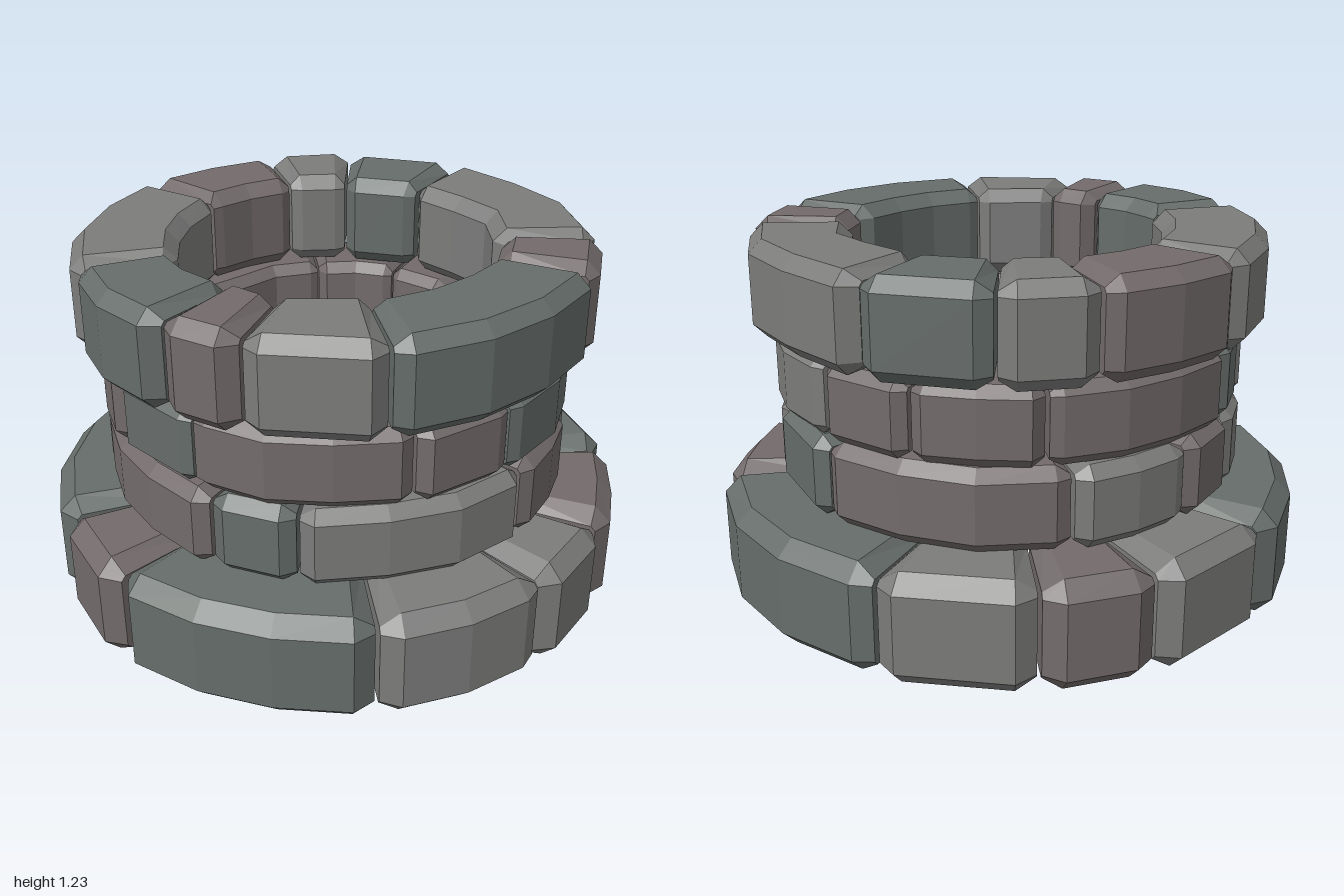
import * as THREE from 'three';

// small seeded generator for hand-cut irregularity
let seed = 7;
const rand = () => (seed = (seed * 16807) % 2147483647) / 2147483647;
const DEG = Math.PI / 180;

const COLORS = { l: 0x7c7c7b, b: 0x736b6b, g: 0x666d6a };

// each course: heights, radii, chamfer and the stones as [start angle, tone]; 0 is the front, 90 is +x
const COURSES = [
  { name: 'baseCourse', y0: 0, y1: 0.375, r0: 0.58, r1: 1.0, c: 0.055,
    stones: [[-26, 'g'], [26, 'l'], [60, 'l'], [83, 'b'], [114, 'g'], [173, 'l'], [203, 'b'],
      [225, 'l'], [254, 'g'], [310, 'b']] },
  { name: 'lowerCourse', y0: 0.37, y1: 0.65, r0: 0.5, r1: 0.805, c: 0.04,
    stones: [[-11, 'g'], [10, 'l'], [67, 'b'], [98, 'l'], [121, 'g'], [151, 'b'], [212, 'l'],
      [243, 'b'], [265, 'l'], [296, 'b']] },
  { name: 'upperCourse', y0: 0.645, y1: 0.908, r0: 0.5, r1: 0.8, c: 0.035,
    stones: [[-15, 'b'], [36, 'b'], [61, 'g'], [116, 'l'], [150, 'b'], [175, 'b'], [206, 'b'],
      [258, 'g'], [277, 'l'], [300, 'b'], [319, 'g']] },
  { name: 'rimCourse', y0: 0.908, y1: 1.235, r0: 0.53, r1: 0.875, c: 0.045,
    stones: [[-18, 'b'], [0, 'l'], [29, 'g'], [86, 'b'], [107, 'l'], [167, 'g'], [195, 'l'],
      [216, 'b'], [251, 'l'], [308, 'g']] },
];

// rectangle in (radius, height) with cut corners, counter-clockwise
function section(r0, r1, y0, y1, c) {
  return [[r0 + c, y0], [r1 - c, y0], [r1, y0 + c], [r1, y1 - c],
    [r1 - c, y1], [r0 + c, y1], [r0, y1 - c], [r0, y0 + c]];
}

// curved stone swept from angle a to b, chamfered along every edge
function stoneGeometry({ y0, y1, r0, r1, c }, a, b) {
  const mid = (r0 + r1) / 2;
  const cut = c / mid;
  const steps = Math.max(1, Math.round((b - a) / (20 * DEG)));
  const top = y1 - rand() * 0.008;
  const stations = [];
  const addStation = (angle, inset, chamfer) => {
    const outer = r1 - rand() * 0.02;
    const inner = r0 + (rand() - 0.5) * 0.03;
    const ring = section(inner + inset, outer - inset, y0 + inset, top - inset, chamfer);
    stations.push(ring.map(([r, y]) => [r * Math.sin(angle), y, r * Math.cos(angle)]));
  };
  addStation(a, c * 0.75, c * 0.3);
  for (let i = 0; i <= steps; i++) {
    addStation(THREE.MathUtils.lerp(a + cut, b - cut, i / steps), 0, c);
  }
  addStation(b, c * 0.75, c * 0.3);

  const n = 8;
  const index = [];
  for (let s = 0; s < stations.length - 1; s++) {
    for (let i = 0; i < n; i++) {
      const j = (i + 1) % n;
      const p = s * n + i, q = s * n + j;
      index.push(p, p + n, q + n, p, q + n, q);
    }
  }
  // end faces
  const last = (stations.length - 1) * n;
  for (let i = 1; i < n - 1; i++) {
    index.push(0, i, i + 1, last, last + i + 1, last + i);
  }
  const geometry = new THREE.BufferGeometry();
  geometry.setAttribute('position', new THREE.Float32BufferAttribute(stations.flat(2), 3));
  geometry.setIndex(index);
  geometry.computeVertexNormals();
  return geometry;
}

export function createModel() {
  seed = 7;
  const model = new THREE.Group();
  model.name = 'stoneWell';
  const materials = {};
  for (const tone in COLORS) {
    materials[tone] = new THREE.MeshStandardMaterial({ color: COLORS[tone], flatShading: true });
  }

  // four stacked rings of stones, with a narrow joint between neighbours
  for (const course of COURSES) {
    const ring = new THREE.Group();
    ring.name = course.name;
    const { stones } = course;
    stones.forEach(([start, tone], i) => {
      const end = i + 1 < stones.length ? stones[i + 1][0] : stones[0][0] + 360;
      const joint = 0.4;
      const geometry = stoneGeometry(course, (start + joint) * DEG, (end - joint) * DEG);
      const stone = new THREE.Mesh(geometry, materials[tone]);
      stone.name = 'stone' + (i + 1);
      ring.add(stone);
    });
    model.add(ring);
  }
  return model;
}
